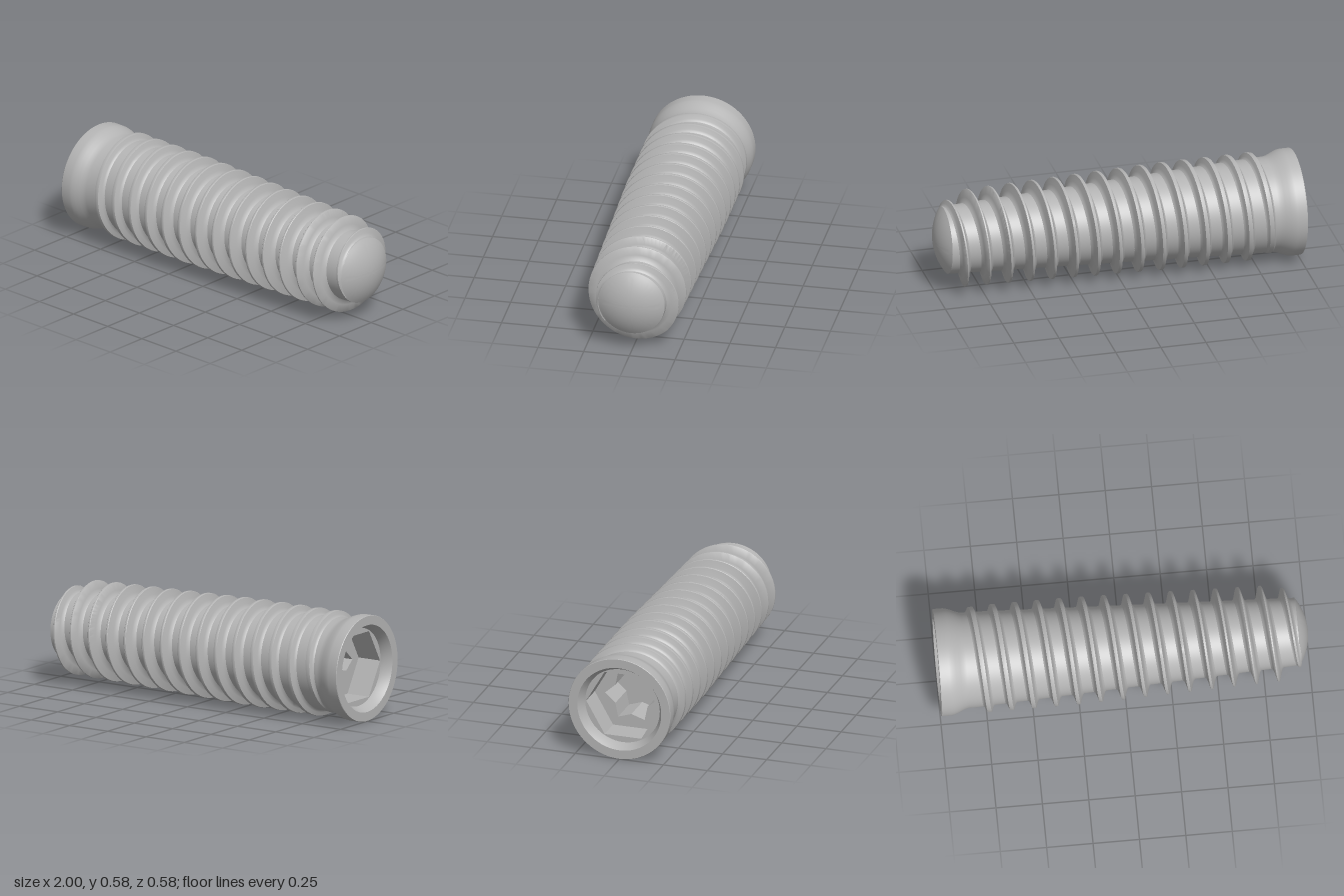
import * as THREE from 'three';
import { toCreasedNormals } from 'three/addons/utils/BufferGeometryUtils.js';

const RADIUS = 0.289;
const PITCH = 0.12;
const { lerp, smoothstep } = THREE.MathUtils;

// Radius of the tapered core and of the thread crest at a position along the axis
const rootRadius = x => lerp(0.257, 0.182, THREE.MathUtils.clamp((x + 0.8) / 1.74, 0, 1));
function crestRadius(x) {
  if (x > 0.86) return Math.max(lerp(0.258, 0.184, (x - 0.86) / 0.09), rootRadius(x));
  const full = x < -0.25 ? RADIUS : lerp(RADIUS, 0.26, (x + 0.25) / 1.1);
  return lerp(rootRadius(x), full, smoothstep(x, -0.84, -0.785));
}

// Turned body: socket bevel, rim, flared collar, tapered core, domed tip
function bodyGeometry() {
  const points = [
    [0.212, -0.93], [0.216, -0.96], [0.238, -1], [0.287, -1], [0.289, -0.997],
    [0.289, -0.945], [0.286, -0.93], [0.279, -0.91], [0.268, -0.885], [0.261, -0.868],
    [0.257, -0.85], [0.257, -0.8],
  ].map(([r, x]) => new THREE.Vector2(r, x));
  for (let i = 1; i <= 6; i++) {
    const x = lerp(-0.8, 0.942, i / 6);
    points.push(new THREE.Vector2(rootRadius(x), x));
  }
  const domeR = 0.314, start = Math.asin(0.182 / domeR);
  for (let i = 1; i <= 10; i++) {
    const a = start * (1 - i / 10);
    points.push(new THREE.Vector2(domeR * Math.sin(a), 1 - domeR + domeR * Math.cos(a)));
  }
  const lathe = new THREE.LatheGeometry(points, 96).rotateZ(-Math.PI / 2);
  return toCreasedNormals(lathe, 0.5);
}

// Helical thread: one filleted cross-section swept around the axis
function threadGeometry() {
  const from = -0.84, to = 0.948, perTurn = 72;
  const steps = Math.round((to - from) / PITCH * perTurn);
  const position = [], index = [];
  for (let i = 0; i <= steps; i++) {
    const x = lerp(from, to, i / steps);
    const angle = (x - 0.185) / PITCH * Math.PI * 2;
    const t = (x - from) / (to - from);
    const height = crestRadius(x) - rootRadius(x);
    const crest = lerp(0.012, 0.005, t);
    const flank = 0.007 + height * 0.12;
    // offset along the axis, fraction of the thread height
    const section = [
      [-crest - flank * 2, -0.05], [-crest - flank * 1.2, 0.1], [-crest - flank * 0.7, 0.4],
      [-crest, 0.97], [-crest * 0.6, 1],
      [crest * 0.6, 1], [crest, 0.97],
      [crest + flank * 0.7, 0.4], [crest + flank * 1.2, 0.1], [crest + flank * 2, -0.05],
    ];
    const n = section.length;
    section.forEach(([dx, f], j) => {
      const px = Math.min(x + dx, 0.95);
      const r = lerp(rootRadius(px), crestRadius(x), f) - 0.0005;
      position.push(px, r * Math.cos(angle), r * Math.sin(angle));
      if (i < steps && j < n - 1) {
        const a = i * n + j, b = a + n;
        index.push(a, b, a + 1, b, b + 1, a + 1);
      }
    });
  }
  const geometry = new THREE.BufferGeometry();
  geometry.setAttribute('position', new THREE.Float32BufferAttribute(position, 3));
  geometry.setIndex(index);
  return toCreasedNormals(geometry, 0.6);
}

// Disc pierced by a regular or star-shaped hole, spanning two axial positions
function piercedDisc(outer, radii, count, x0, x1) {
  const shape = new THREE.Shape().absarc(0, 0, outer, 0, Math.PI * 2);
  const hole = [];
  for (let i = 0; i < count; i++) {
    const a = i / count * Math.PI * 2, r = radii[i % radii.length];
    hole.push(new THREE.Vector2(r * Math.cos(a), r * Math.sin(a)));
  }
  shape.holes.push(new THREE.Path(hole));
  return new THREE.ExtrudeGeometry(shape, { depth: x1 - x0, bevelEnabled: false, curveSegments: 32 })
    .rotateY(Math.PI / 2).translate(x0, 0, 0);
}

export function createModel() {
  const metal = new THREE.MeshStandardMaterial({ color: 0xb4b4b4 });
  metal.name = 'greyMetal';
  const group = new THREE.Group();
  group.name = 'threadedImplant';
  const add = (name, geometry) => {
    const mesh = new THREE.Mesh(geometry, metal);
    mesh.name = name;
    mesh.position.y = RADIUS;
    group.add(mesh);
  };

  add('body', bodyGeometry());
  add('thread', threadGeometry());

  // Drive socket: hexagon, then a smaller star recess with a closed floor
  add('hexSocket', piercedDisc(0.22, [0.208], 6, -0.94, -0.8));
  add('starSocket', piercedDisc(0.22, [0.15, 0.105], 12, -0.8, -0.62));
  add('socketFloor', new THREE.CylinderGeometry(0.18, 0.18, 0.02, 32)
    .rotateZ(Math.PI / 2).translate(-0.61, 0, 0));
  return group;
}
